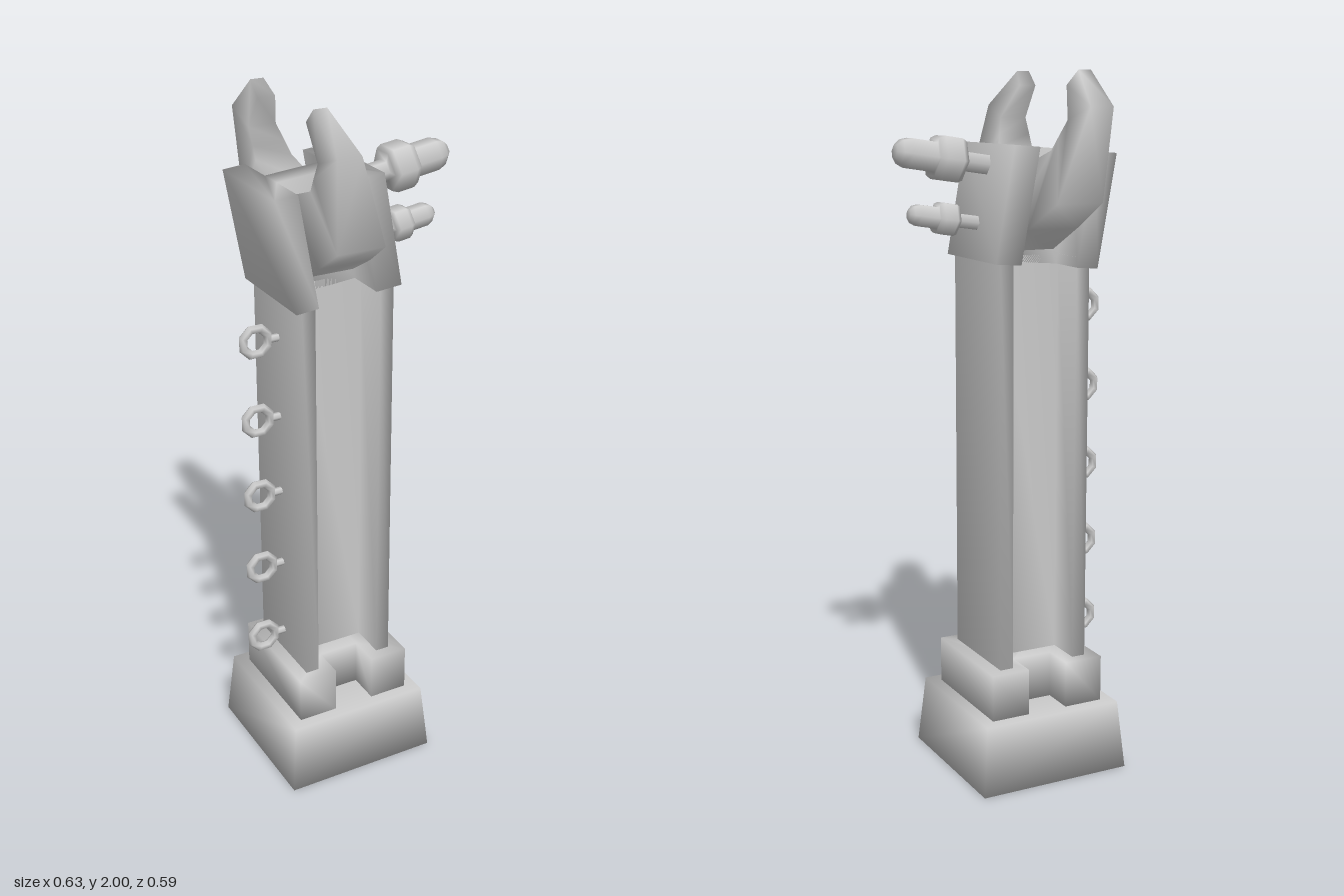
import * as THREE from 'three';
import { mergeVertices } from 'three/addons/utils/BufferGeometryUtils.js';

const material = new THREE.MeshStandardMaterial({ color: 0xcccccc });

// Share corners so the shading runs smoothly across edges
function smooth(geometry) {
  geometry.deleteAttribute('normal');
  geometry.deleteAttribute('uv');
  const merged = mergeVertices(geometry, 1e-4);
  merged.computeVertexNormals();
  return merged;
}

// Move every vertex by a rule
function warp(geometry, rule) {
  const p = geometry.attributes.position;
  const v = new THREE.Vector3();
  for (let i = 0; i < p.count; i++) {
    rule(v.fromBufferAttribute(p, i));
    p.setXYZ(i, v.x, v.y, v.z);
  }
  return geometry;
}

// Upright H beam: flanges x0..x1 and x2..x3, half depth d, half web w
function hBeam([x0, x1, x2, x3], d, w, y0, y1) {
  const outline = [
    [x0, -d], [x1, -d], [x1, -w], [x2, -w], [x2, -d], [x3, -d],
    [x3, d], [x2, d], [x2, w], [x1, w], [x1, d], [x0, d],
  ].map(([x, z]) => new THREE.Vector2(x, z));
  const geometry = new THREE.ExtrudeGeometry(new THREE.Shape(outline), { depth: y1 - y0, bevelEnabled: false });
  return geometry.rotateX(-Math.PI / 2).translate(0, y0, 0);
}

// Curved prong lofted through four-cornered sections; side is +1 or -1 in z
function prong(side) {
  // outer z, outer y, inner z, inner y
  const sections = [
    [0.02, 1.505, 0.02, 1.74],
    [0.153, 1.58, 0.155, 1.79],
    [0.27, 1.655, 0.172, 1.825],
    [0.295, 1.905, 0.195, 1.87],
    [0.175, 2.0, 0.135, 1.96],
  ];
  const back = (y) => -0.178 + Math.max(0, 1.76 - y) * 0.13;
  const front = (y) => -0.14 + (2 - y) * 0.33;
  const positions = [], index = [];
  for (const [oz, oy, iz, iy] of sections) {
    positions.push(back(oy), oy, side * oz, front(oy), oy, side * oz);
    positions.push(front(iy), iy, side * iz, back(iy), iy, side * iz);
  }
  const quad = (a, b, c, d) => index.push(...(side > 0 ? [a, b, c, a, c, d] : [a, c, b, a, d, c]));
  const last = (sections.length - 1) * 4;
  for (let i = 0; i < last; i += 4) {
    for (let j = 0; j < 4; j++) {
      const k = (j + 1) % 4;
      quad(i + j, i + k, i + 4 + k, i + 4 + j);
    }
  }
  quad(0, 3, 2, 1);
  quad(last, last + 1, last + 2, last + 3);
  const geometry = new THREE.BufferGeometry();
  geometry.setAttribute('position', new THREE.Float32BufferAttribute(positions, 3));
  geometry.setIndex(index);
  geometry.computeVertexNormals();
  return geometry;
}

// Six-sided bolt: shank, chamfered nut and tapered end
function bolt() {
  const profile = [
    [0, 0], [0.03, 0], [0.03, 0.09], [0.06, 0.09], [0.068, 0.105], [0.068, 0.155],
    [0.058, 0.172], [0.046, 0.172], [0.046, 0.245], [0.037, 0.268], [0.02, 0.283], [0, 0.283],
  ].map(([r, y]) => new THREE.Vector2(r, y));
  return new THREE.LatheGeometry(profile, 6);
}

export function createModel() {
  const model = new THREE.Group();
  model.name = 'clawTower';
  const add = (name, geometry, parent = model) => {
    const mesh = new THREE.Mesh(geometry, material);
    mesh.name = name;
    parent.add(mesh);
    return mesh;
  };

  // Tapered foot
  const foot = warp(new THREE.BoxGeometry(0.46, 0.2, 0.46), (v) => {
    if (v.y > 0) { v.x *= 0.92; v.z *= 0.92; }
  });
  add('foot', smooth(foot.translate(-0.061, 0.1, 0)));

  // Plinth and column
  add('plinth', smooth(hBeam([-0.237, -0.12, 0, 0.115], 0.175, 0.08, 0.198, 0.335)));
  add('column', smooth(hBeam([-0.2, -0.16, 0.035, 0.075], 0.142, 0.035, 0.33, 1.5)));

  // Leaning head
  const head = warp(hBeam([-0.22, -0.155, 0.017, 0.093], 0.153, 0.035, 0, 1), (v) => {
    v.x -= 0.056 * v.y;
    v.y = 1.485 + 0.318 * v.y + 0.085 * v.x;
  });
  add('head', smooth(head));

  // Pair of prongs
  add('leftProng', prong(1));
  add('rightProng', prong(-1));

  // Large and small bolts
  for (const [name, x, y, size] of [['upperBolt', 0.037, 1.747, 1], ['lowerBolt', 0.078, 1.592, 0.72]]) {
    const mesh = add(name, bolt());
    mesh.position.set(x, y, 0);
    mesh.rotation.z = -Math.PI / 2 + 0.15;
    mesh.scale.setScalar(size);
  }

  // Row of eyelets down the back flange
  for (let i = 0; i < 5; i++) {
    const eyelet = new THREE.Group();
    eyelet.name = 'eyelet';
    eyelet.position.set(-0.267, 0.405 + i * 0.235, 0);
    add('ring', new THREE.TorusGeometry(0.039, 0.013, 6, 8), eyelet).rotation.z = Math.PI / 8;
    add('stem', new THREE.CylinderGeometry(0.011, 0.011, 0.04, 6).rotateZ(Math.PI / 2), eyelet).position.x = 0.055;
    model.add(eyelet);
  }
  return model;
}
